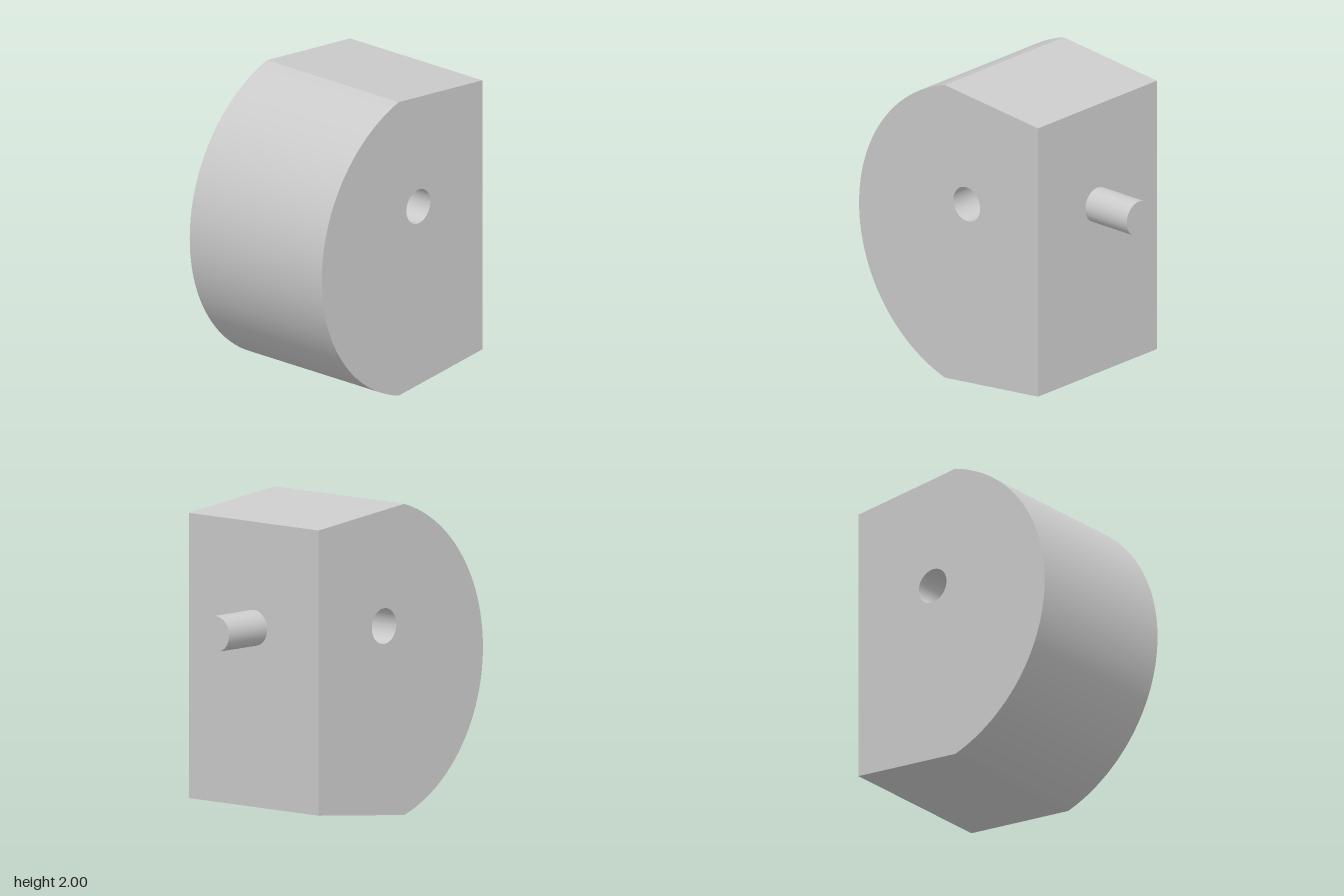
import * as THREE from 'three';
import { toCreasedNormals } from 'three/addons/utils/BufferGeometryUtils.js';

export function createModel() {
  const group = new THREE.Group();
  const material = new THREE.MeshStandardMaterial({ color: 0xcccccc });
  const faceX = 0.592, depth = 1.12, holeY = 1.235, radius = 0.115;

  // Body outline: flat face, tapered top and bottom, round back
  const arcX = 0.096, arcR = 1.046;
  const topAngle = Math.atan2(1, -0.306);
  const outline = new THREE.Shape();
  outline.moveTo(faceX, 0.083);
  outline.lineTo(faceX, 1.917);
  outline.lineTo(-0.21, 2);
  outline.absarc(arcX, 1, arcR, topAngle, 2 * Math.PI - topAngle, false);
  outline.closePath();

  // Cross hole through the body
  const hole = new THREE.Path();
  hole.absarc(-0.022, holeY, radius, 0, Math.PI * 2, true);
  outline.holes.push(hole);

  const bodyGeometry = new THREE.ExtrudeGeometry(outline, {
    depth, bevelEnabled: false, curveSegments: 48,
  });
  bodyGeometry.translate(0, 0, -depth / 2);
  const body = new THREE.Mesh(toCreasedNormals(bodyGeometry, Math.PI / 9), material);
  body.name = 'body';
  group.add(body);

  // Pin standing out of the flat face
  const pinLength = 0.95 - faceX;
  const pin = new THREE.Mesh(new THREE.CylinderGeometry(radius, radius, pinLength, 48), material);
  pin.name = 'pin';
  pin.rotation.z = -Math.PI / 2;
  pin.position.set(faceX + pinLength / 2, holeY, 0);
  group.add(pin);

  return group;
}
